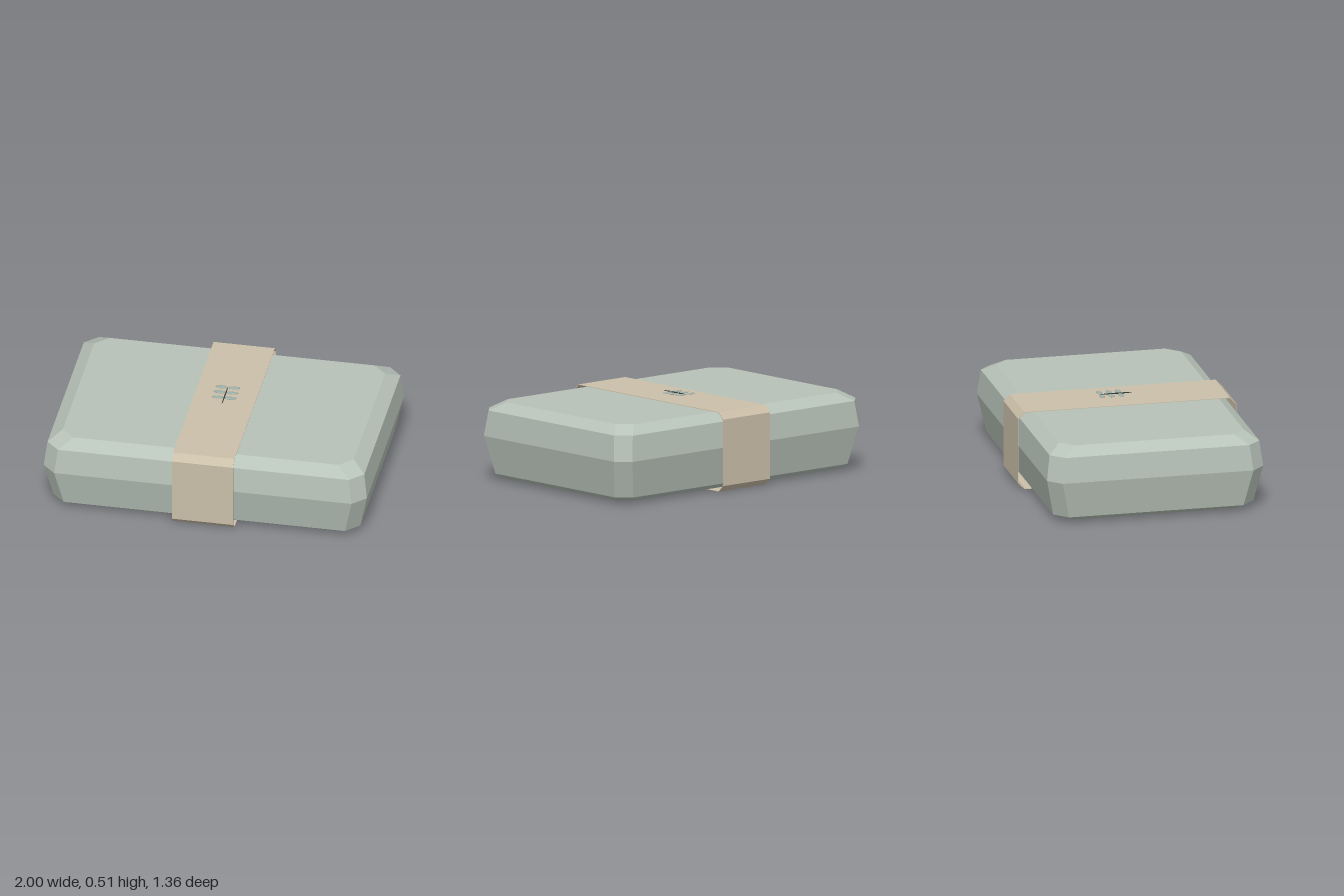
import * as THREE from 'three';

const mat = (name, color, extra = {}) => new THREE.MeshStandardMaterial({ name, color, ...extra });

// Rectangle outline with cut corners, half sizes a and b, cut c
const cutRect = (a, b, c) => [
  [a, b - c], [a - c, b], [c - a, b], [-a, b - c],
  [-a, c - b], [c - a, -b], [a - c, -b], [a, c - b],
];

// Faceted solid through stacked cut rectangles, each level [y, halfX, halfZ]
function loft(levels, cut) {
  const pos = [];
  const rings = levels.map(([y, a, b]) => cutRect(a, b, cut).map(([x, z]) => [x, y, z]));
  const tri = (...pts) => pts.forEach((p) => pos.push(...p));
  for (let r = 0; r < rings.length - 1; r++) {
    for (let i = 0; i < 8; i++) {
      const j = (i + 1) % 8, lo = rings[r], hi = rings[r + 1];
      tri(lo[i], hi[i], hi[j]);
      tri(lo[i], hi[j], lo[j]);
    }
  }
  const bottom = rings[0], top = rings[rings.length - 1];
  for (let i = 1; i < 7; i++) {
    tri(bottom[0], bottom[i], bottom[i + 1]);
    tri(top[0], top[i + 1], top[i]);
  }
  const g = new THREE.BufferGeometry();
  g.setAttribute('position', new THREE.Float32BufferAttribute(pos, 3));
  g.computeVertexNormals();
  return g;
}

export function createModel() {
  const group = new THREE.Group();
  const sage = mat('sage', 0xb7c2b8, { flatShading: true });
  const kraft = mat('kraft paper', 0xcbbfa9, { flatShading: true });
  const leafGreen = mat('leaf green', 0x9fb0a8);
  const dark = mat('dark stem', 0x2f3b3c);
  const add = (name, geometry, material, parent = group) => {
    const m = new THREE.Mesh(geometry, material);
    m.name = name;
    parent.add(m);
    return m;
  };

  // Box: tapered base and bevelled lid meeting at the widest line
  add('base', loft([[0.012, 0.9, 0.58], [0.043, 0.95, 0.625], [0.275, 1, 0.675]], 0.08), sage);
  add('lid', loft([[0.275, 1, 0.675], [0.432, 0.98, 0.655], [0.483, 0.9, 0.577]], 0.08), sage);

  // Paper sleeve: thin hollow loop around the middle
  const outline = (inset) => cutRect(0.682 - inset, 0.245 - inset, 0.04).map(([x, y]) => new THREE.Vector2(x, y));
  const loop = new THREE.Shape(outline(0));
  loop.holes.push(new THREE.Path(outline(0.003)));
  const sleeveGeo = new THREE.ExtrudeGeometry(loop, { depth: 0.38, bevelEnabled: false });
  sleeveGeo.translate(0, 0, -0.19).rotateY(Math.PI / 2).translate(0, 0.245, 0);
  add('sleeve', sleeveGeo, kraft);

  // Sprig on top: slim stem with three pairs of leaves
  const sprig = new THREE.Group();
  sprig.name = 'sprig';
  sprig.position.y = 0.508;
  group.add(sprig);
  const stem = add('stem', new THREE.SphereGeometry(1, 8, 6), dark, sprig);
  stem.scale.set(0.004, 0.004, 0.102);
  stem.position.z = -0.027;
  for (const z of [-0.122, -0.063, -0.003]) {
    for (const side of [-1, 1]) {
      const leaf = add('leaf', new THREE.SphereGeometry(1, 8, 6), leafGreen, sprig);
      leaf.scale.set(0.038, 0.004, 0.018);
      leaf.position.set(side * 0.039, 0, z);
    }
  }
  return group;
}
